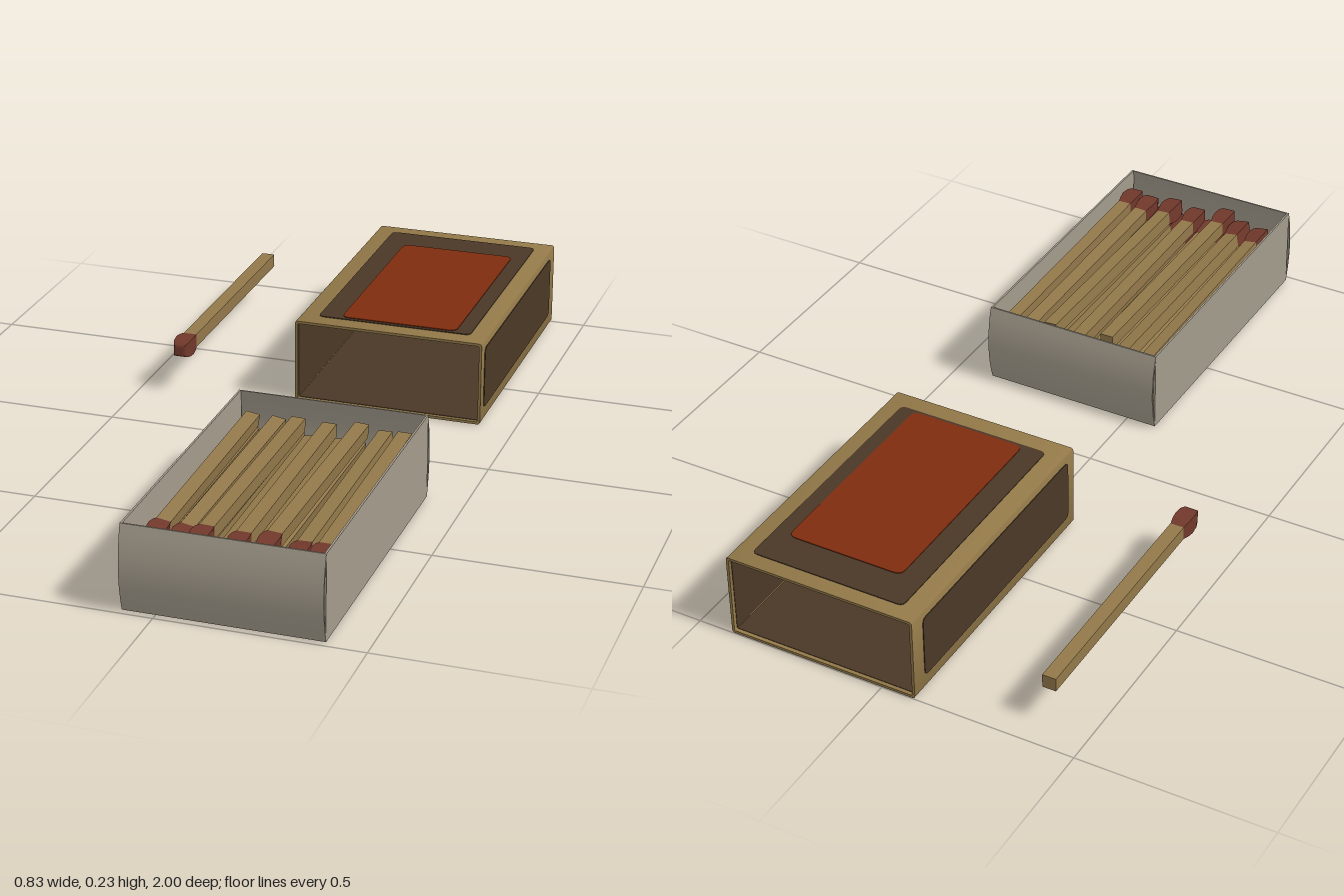
import * as THREE from 'three';
import { toCreasedNormals } from 'three/addons/utils/BufferGeometryUtils.js';

const mat = (name, color, side = THREE.FrontSide) => {
  const m = new THREE.MeshStandardMaterial({ color, side });
  m.name = name;
  return m;
};

// Small seeded generator, returns -1..1
function seeded(seed) {
  let s = seed;
  return () => {
    s = (s * 16807) % 2147483647;
    return (s / 2147483647) * 2 - 1;
  };
}

function roundedRect(target, w, h, r) {
  const x = w / 2, y = h / 2;
  target.moveTo(-x + r, -y);
  target.lineTo(x - r, -y).quadraticCurveTo(x, -y, x, -y + r);
  target.lineTo(x, y - r).quadraticCurveTo(x, y, x - r, y);
  target.lineTo(-x + r, y).quadraticCurveTo(-x, y, -x, y - r);
  target.lineTo(-x, -y + r).quadraticCurveTo(-x, -y, -x + r, -y);
  return target;
}

export function createModel() {
  const model = new THREE.Group();
  const card = mat('tan card', 0x927848);
  const wood = mat('match wood', 0x92784a);
  const dark = mat('dark brown', 0x4a3826);
  const red = mat('label red', 0x7f2c0f);
  const grey = mat('grey card', 0xa39b8c);
  const tip = mat('match head red', 0x71382b);

  const add = (parent, name, geo, material, x = 0, y = 0, z = 0) => {
    const m = new THREE.Mesh(geo, material);
    m.name = name;
    m.position.set(x, y, z);
    parent.add(m);
    return m;
  };
  const box = (parent, name, material, w, h, d, x, y, z) =>
    add(parent, name, new THREE.BoxGeometry(w, h, d), material, x, y, z);
  // Thin printed plate lying in XY, facing +z
  const plate = (w, h, r) => new THREE.ExtrudeGeometry(
    roundedRect(new THREE.Shape(), w, h, r), { depth: 0.002, bevelEnabled: false, curveSegments: 3 });

  // ---- Sleeve: open tube with printed faces
  const sleeve = new THREE.Group();
  sleeve.name = 'sleeve';
  sleeve.position.set(0.16, 0.114, -0.625);
  model.add(sleeve);
  const W = 0.498, H = 0.222, D = 0.75, T = 0.007;
  const ring = roundedRect(new THREE.Shape(), W, H, 0.008);
  ring.holes.push(roundedRect(new THREE.Path(), W - 2 * T, H - 2 * T, 0.004));
  const tube = new THREE.ExtrudeGeometry(ring, { depth: D, bevelEnabled: false, curveSegments: 4 });
  add(sleeve, 'sleeveShell', toCreasedNormals(tube, 0.7), card, 0, 0, -D / 2);

  // Printed top, bottom and striking sides
  const border = add(sleeve, 'topBorder', plate(0.405, 0.66, 0.015), dark, 0.002, H / 2, -0.003);
  border.rotation.x = -Math.PI / 2;
  const label = add(sleeve, 'topLabel', plate(0.305, 0.56, 0.02), red, 0.012, H / 2 + 0.002, 0.04);
  label.rotation.x = -Math.PI / 2;
  label.position.z = 0.038;
  const under = add(sleeve, 'bottomPrint', plate(0.475, 0.725, 0.008), dark, 0, -H / 2, 0);
  under.rotation.x = Math.PI / 2;
  for (const s of [-1, 1]) {
    const strip = add(sleeve, 'strikingStrip', plate(0.675, 0.165, 0.015), dark, s * W / 2, 0.007, 0.008);
    strip.rotation.y = s * Math.PI / 2;
    box(sleeve, 'sideLining', dark, 0.0015, H - 2 * T - 0.004, D - 0.02,
      s * (W / 2 - T - 0.0005), 0, 0);
    box(sleeve, 'flatLining', dark, W - 2 * T - 0.004, 0.0015, D - 0.02,
      0, s * (H / 2 - T - 0.0005), 0);
  }

  // ---- Tray: flat floor and sides, thin bowed ends
  const tray = new THREE.Group();
  tray.name = 'tray';
  tray.position.set(0.16, 0, 0.5915);
  model.add(tray);
  const halfX = 0.24, halfZ = 0.392, top = 0.217, t = 0.005;
  box(tray, 'trayFloor', grey, halfX * 2, t, halfZ * 2, 0, 0.0045, 0);
  box(tray, 'trayLining', dark, halfX * 2 - 2 * t, 0.002, 0.755, 0, 0.008, -0.012);
  for (const s of [-1, 1]) {
    box(tray, 'traySide', grey, t, top - 0.002, halfZ * 2, s * (halfX - t / 2), (top + 0.002) / 2, 0);
    const bow = new THREE.Shape();
    bow.moveTo(0, 0.002);
    bow.quadraticCurveTo(0.034, top / 2, 0, top);
    bow.lineTo(-0.004, top);
    bow.quadraticCurveTo(0.028, top / 2, -0.004, 0.002);
    const end = new THREE.ExtrudeGeometry(bow, { depth: halfX * 2, bevelEnabled: false, curveSegments: 12 });
    end.translate(0, 0, -halfX);
    const m = add(tray, 'trayEnd', toCreasedNormals(end, 0.6), grey, 0, 0, s * halfZ);
    m.rotation.y = -s * Math.PI / 2;
  }

  // ---- Matches: square stick with a rounded square head, pointing to +z
  const stickGeo = new THREE.BoxGeometry(0.035, 0.035, 0.66);
  const profile = [[0, -0.044], [0.0175, -0.042], [0.021, -0.025], [0.023, -0.005],
    [0.0215, 0.018], [0.017, 0.034], [0.010, 0.041], [0, 0.042]]
    .map(([r, y]) => new THREE.Vector2(r * Math.SQRT2, y));
  const headGeo = toCreasedNormals(
    new THREE.LatheGeometry(profile, 4).rotateY(Math.PI / 4).rotateX(Math.PI / 2), 0.9);
  const match = (parent, x, y, z, roll = 0, yaw = 0) => {
    const g = new THREE.Group();
    g.name = 'match';
    add(g, 'matchStick', stickGeo, wood, 0, 0, -0.025);
    add(g, 'matchHead', headGeo, tip, 0, 0, 0.313);
    g.position.set(x, y, z);
    g.rotation.set(0, yaw, roll);
    parent.add(g);
  };
  match(model, -0.394, 0.115, -0.565);

  // Three loose layers filling the tray
  const rnd = seeded(77);
  const topX = [-0.19, -0.125, -0.07, 0.008, 0.083, 0.15, 0.2];
  for (let layer = 0; layer < 3; layer++) {
    for (let i = 0; i < 8; i++) {
      match(tray, -0.196 + i * 0.056 + rnd() * 0.006, 0.034 + layer * 0.046 + rnd() * 0.004,
        0.008 + rnd() * 0.012, rnd() * 0.25, rnd() * 0.01);
    }
  }
  topX.forEach((x, i) => match(tray, x, 0.168 + rnd() * 0.008,
    i === 2 ? 0.022 : 0.004 + rnd() * 0.008, rnd() * 0.3, rnd() * 0.015));

  return model;
}
